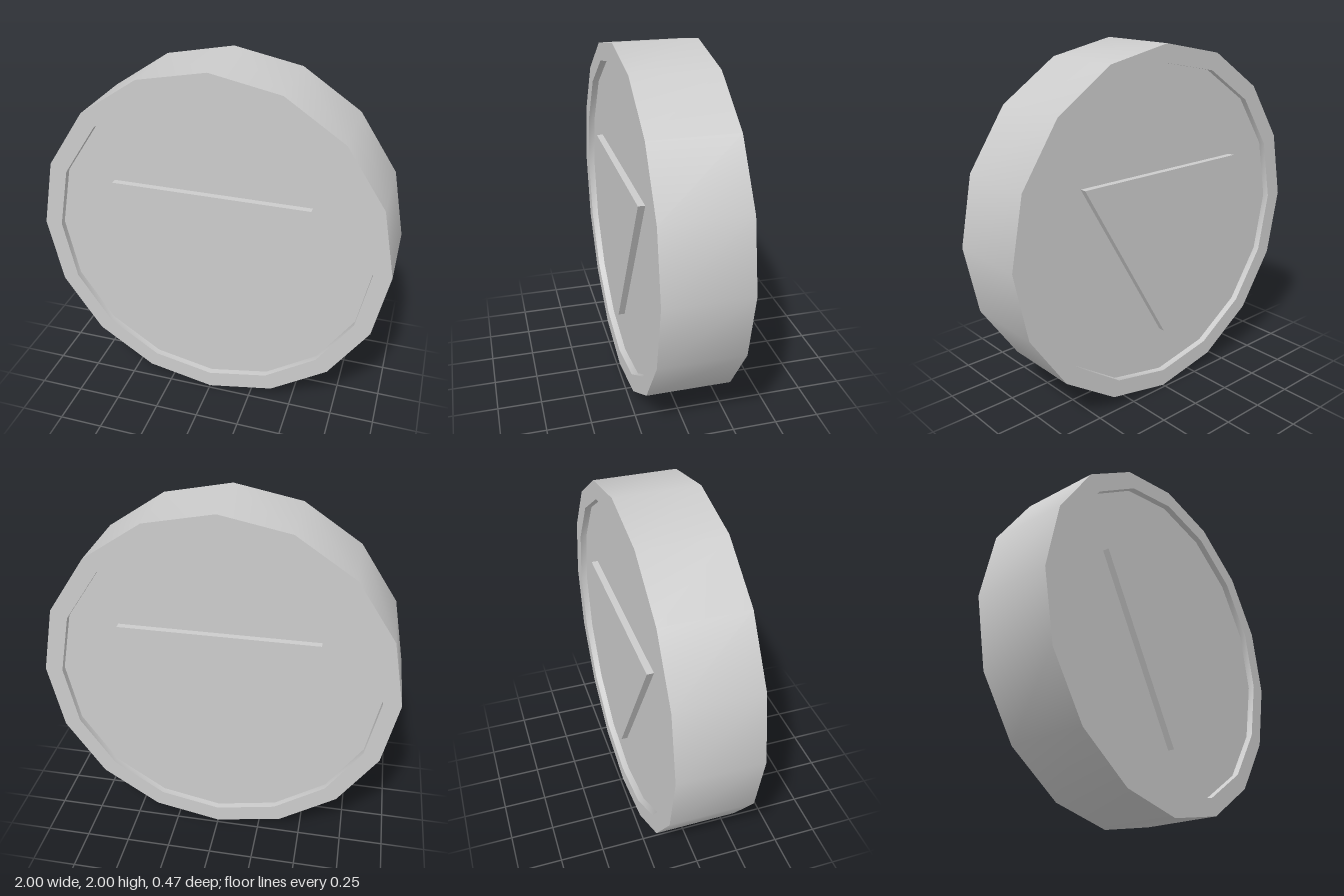
import * as THREE from 'three';
import { toCreasedNormals } from 'three/addons/utils/BufferGeometryUtils.js';

const HALF = 0.233;    // half thickness at the rim
const RECESS = 0.037;  // depth of the sunken faces
const FLOOR = HALF - RECESS;

export function createModel() {
  const group = new THREE.Group();
  group.name = 'coin';
  const material = new THREE.MeshStandardMaterial({ color: 0xcccccc });

  // Sixteen-sided disc with a raised rim on both faces
  const profile = [
    [0, -FLOOR], [0.9, -FLOOR], [0.9, -HALF], [1, -HALF],
    [1, HALF], [0.9, HALF], [0.9, FLOOR], [0, FLOOR],
  ].map(([r, y]) => new THREE.Vector2(r, y));
  const discGeometry = new THREE.LatheGeometry(profile, 16).rotateX(Math.PI / 2);
  const disc = new THREE.Mesh(toCreasedNormals(discGeometry, Math.PI / 6), material);
  disc.name = 'disc';
  disc.position.y = 1;
  group.add(disc);

  // Raised triangle pointing down on each face, level with the rim
  const triangleGeometry = toCreasedNormals(
    new THREE.CylinderGeometry(0.64, 0.64, RECESS, 3).rotateX(Math.PI / 2), Math.PI / 6);
  for (const [name, side] of [['frontTriangle', 1], ['backTriangle', -1]]) {
    const triangle = new THREE.Mesh(triangleGeometry, material);
    triangle.name = name;
    triangle.position.set(0, 1, side * (FLOOR + RECESS / 2));
    group.add(triangle);
  }

  return group;
}
